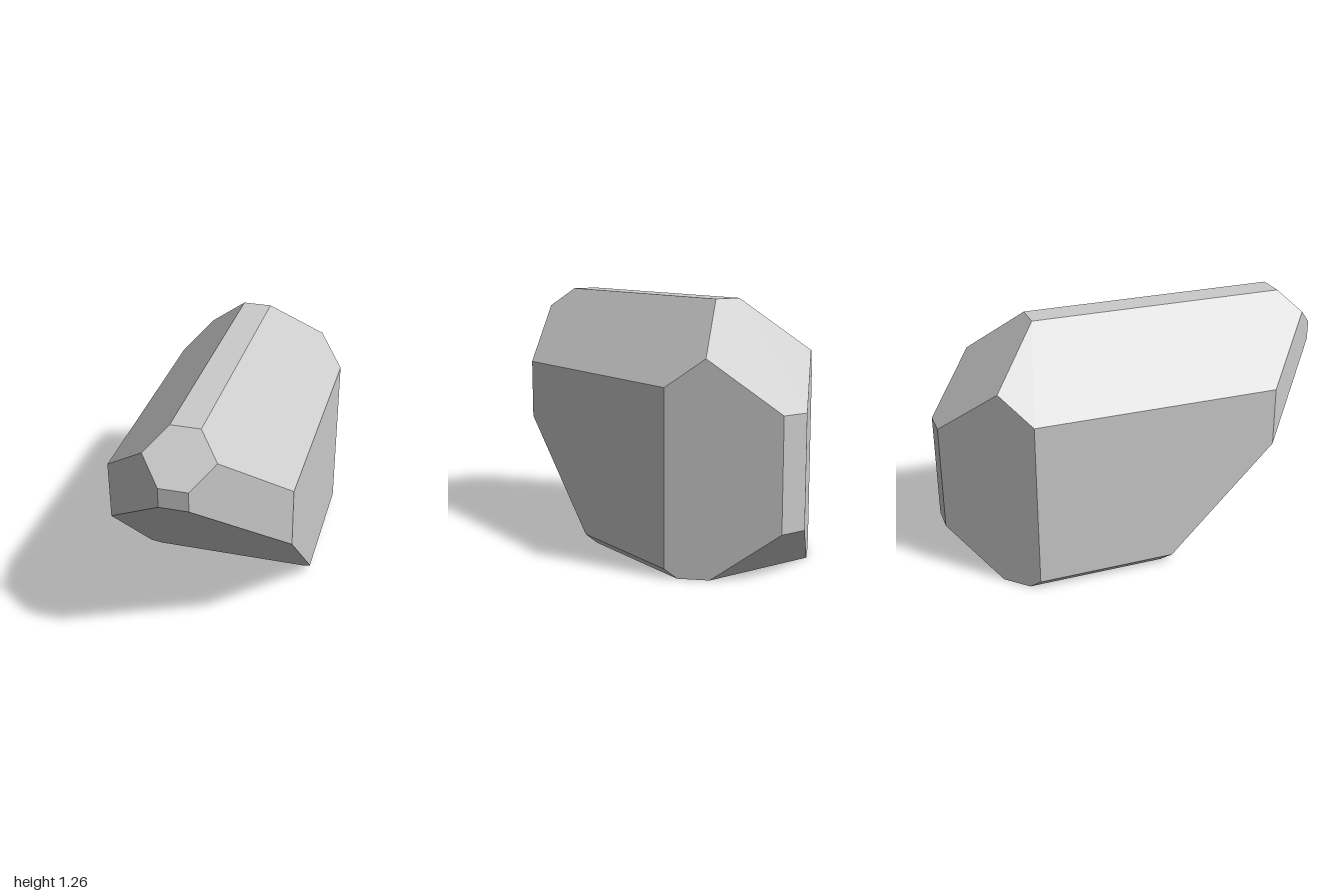
import * as THREE from 'three';
import { ConvexGeometry } from 'three/addons/geometries/ConvexGeometry.js';

// Each entry is a cutting plane [nx, ny, nz, d]: the solid keeps n.p <= d
const centrePlanes = [
  [0, 1, 0, 1.262],   // top ridge
  [0, -1, 0, 0],      // base
  [0, 0, 1, 1],       // nose
  [0, 0, -1, 1],      // tail
  [0, 1, 1, 2.063],   // upper front bevel
  [0, 1, -1, 1.772],  // upper back bevel
  [0, -1, 1, 0.035],  // long sloping underside
  [0, -1, -1, 0.77],  // lower back bevel
];
const sidePlanes = [
  [1, 0, 0, 0.448],   // flank
  [1, 1, 0, 1.333],   // roof slope
  [1, -1, 0, 0.405],  // lower flank bevel
  [1, 0, 1, 1.069],   // front corner bevel
  [1, 0, -1, 1.069],  // back corner bevel
];

// Corners of the solid: plane triples that meet inside all the other planes
function cornersOf(planes) {
  const cuts = planes.map(([x, y, z, d]) => ({ n: new THREE.Vector3(x, y, z), d }));
  const corners = [];
  for (let i = 0; i < cuts.length; i++)
    for (let j = i + 1; j < cuts.length; j++)
      for (let k = j + 1; k < cuts.length; k++) {
        const [a, b, c] = [cuts[i], cuts[j], cuts[k]];
        const bc = b.n.clone().cross(c.n);
        const det = a.n.dot(bc);
        if (Math.abs(det) < 1e-6) continue;
        const p = bc.multiplyScalar(a.d)
          .addScaledVector(c.n.clone().cross(a.n), b.d)
          .addScaledVector(a.n.clone().cross(b.n), c.d)
          .divideScalar(det);
        const inside = cuts.every((q) => q.n.dot(p) <= q.d + 1e-6);
        if (inside && !corners.some((q) => q.distanceTo(p) < 1e-4)) corners.push(p);
      }
  return corners;
}

export function createModel() {
  const group = new THREE.Group();
  group.name = 'facetedBlock';
  const mirrored = sidePlanes.map(([x, y, z, d]) => [-x, y, z, d]);
  const body = new THREE.Mesh(
    new ConvexGeometry(cornersOf([...centrePlanes, ...sidePlanes, ...mirrored])),
    new THREE.MeshStandardMaterial({ color: 0xcccccc, flatShading: true })
  );
  body.name = 'bevelledBody';
  group.add(body);
  return group;
}
